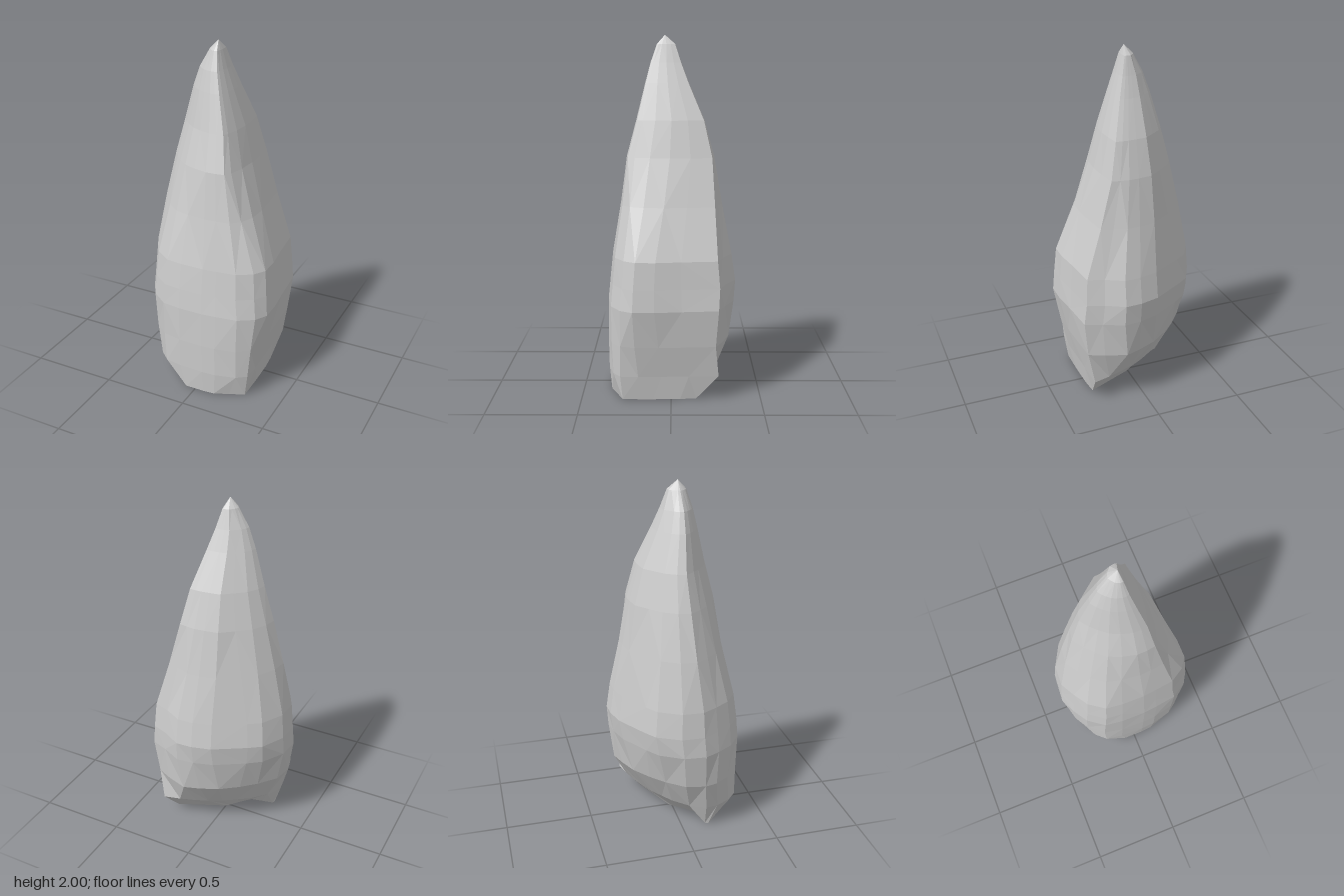
import * as THREE from 'three';

// Cross-sections (x, z), each running back -> left side -> front -> right side.
// Resting face
const FLOOR = [
  [-0.02, 0], [0, -0.02], [0.09, -0.06], [0.18, -0.1], [0.27, -0.14],
  [0.28, -0.05], [0.285, 0.1], [0.285, 0.2], [0.285, 0.27], [0.2, 0.305],
  [0.12, 0.34], [0.05, 0.345], [-0.06, 0.345], [-0.12, 0.285], [-0.19, 0.22],
  [-0.255, 0.16], [-0.25, 0.14], [-0.18, 0.125], [-0.115, 0.11], [-0.06, 0.05],
];
// Undercut foot, with a jutting back corner
const FOOT = [
  [-0.04, -0.14], [0.04, -0.18], [0.11, -0.21], [0.2, -0.24], [0.295, -0.265],
  [0.3, -0.1], [0.305, 0.05], [0.31, 0.18], [0.305, 0.28], [0.25, 0.32],
  [0.13, 0.35], [0.05, 0.355], [-0.09, 0.35], [-0.19, 0.335], [-0.25, 0.28],
  [-0.29, 0.2], [-0.3, 0.13], [-0.255, 0.04], [-0.175, -0.045], [-0.11, -0.09],
];
// Lower body
const LOWER = [
  [-0.07, -0.25], [0.03, -0.295], [0.12, -0.325], [0.24, -0.285], [0.325, -0.245],
  [0.335, -0.08], [0.342, 0.07], [0.345, 0.2], [0.32, 0.28], [0.25, 0.33],
  [0.13, 0.355], [0.05, 0.36], [-0.09, 0.357], [-0.2, 0.335], [-0.285, 0.26],
  [-0.335, 0.18], [-0.352, 0.11], [-0.33, 0], [-0.25, -0.1], [-0.17, -0.175],
];
// Widest part
const BELLY = [
  [-0.06, -0.325], [0.05, -0.355], [0.145, -0.36], [0.25, -0.3], [0.345, -0.265],
  [0.365, -0.05], [0.385, 0.1], [0.385, 0.215], [0.34, 0.28], [0.25, 0.335],
  [0.13, 0.35], [0.05, 0.36], [-0.09, 0.36], [-0.19, 0.35], [-0.285, 0.28],
  [-0.34, 0.19], [-0.385, 0.1], [-0.38, -0.03], [-0.31, -0.165], [-0.24, -0.215],
];
// Three-cornered upper part
const SHARD = [
  [-0.05, -0.19], [0.02, -0.2], [0.07, -0.205], [0.11, -0.205], [0.15, -0.2],
  [0.162, -0.1], [0.165, 0], [0.155, 0.1], [0.135, 0.18], [0.12, 0.213],
  [0.08, 0.22], [0.03, 0.22], [-0.04, 0.2], [-0.1, 0.172], [-0.15, 0.13],
  [-0.19, 0.09], [-0.23, 0.035], [-0.215, -0.02], [-0.175, -0.085], [-0.11, -0.14],
];
const SHAPES = [FOOT, LOWER, BELLY, SHARD];

// Each level: y, xMin, xMax, zMin, zMax, shape (0 foot, 1 lower, 2 belly, 3 shard)
const LEVELS = [
  [0.14, -0.3, 0.31, -0.263, 0.357, 0],
  [0.32, -0.355, 0.347, -0.325, 0.36, 1],
  [0.53, -0.386, 0.386, -0.35, 0.358, 1.75],
  [0.65, -0.381, 0.377, -0.358, 0.346, 2],
  [0.8, -0.37, 0.365, -0.336, 0.33, 2.05],
  [1.08, -0.32, 0.268, -0.282, 0.283, 2.45],
  [1.34, -0.262, 0.19, -0.238, 0.247, 2.85],
  [1.54, -0.208, 0.143, -0.183, 0.193, 3],
  [1.74, -0.148, 0.082, -0.097, 0.144, 3],
  [1.85, -0.107, 0.048, -0.055, 0.115, 3],
  [1.95, -0.05, 0.02, -0.022, 0.08, 3],
];

// Stretch a cross-section to the given extents
function fit(shape, x0, x1, z0, z1) {
  const xs = shape.map((p) => p[0]), zs = shape.map((p) => p[1]);
  const { mapLinear } = THREE.MathUtils;
  return shape.map(([x, z]) => [
    mapLinear(x, Math.min(...xs), Math.max(...xs), x0, x1),
    mapLinear(z, Math.min(...zs), Math.max(...zs), z0, z1),
  ]);
}

// Blend neighbouring shapes at one level
function section(kind, extents) {
  const shapes = SHAPES.map((s) => fit(s, 0, 1, 0, 1));
  const i = Math.min(Math.floor(kind), SHAPES.length - 2);
  const mixed = shapes[i].map((p, j) =>
    p.map((v, axis) => THREE.MathUtils.lerp(v, shapes[i + 1][j][axis], kind - i)));
  return fit(mixed, ...extents);
}

function rockGeometry() {
  const n = FLOOR.length;
  const points = FLOOR.map(([x, z]) => [x, 0, z]);
  for (const [y, x0, x1, z0, z1, kind] of LEVELS) {
    for (const [x, z] of section(kind, [x0, x1, z0, z1])) points.push([x, y, z]);
  }
  const tip = points.push([0, 2, 0.035]) - 1;
  const base = points.push([0.08, 0, 0.17]) - 1;

  const index = [];
  const top = LEVELS.length * n;
  for (let j = 0; j < n; j++) {
    const k = (j + 1) % n;
    index.push(base, j, k);
    // Alternating diagonals give the chipped diamond facets
    for (let i = 0; i < LEVELS.length; i++) {
      const a = i * n + j, b = i * n + k, c = a + n, d = b + n;
      if ((i + j) % 2) index.push(a, c, b, b, c, d);
      else index.push(a, c, d, a, d, b);
    }
    index.push(top + j, tip, top + k);
  }

  const indexed = new THREE.BufferGeometry();
  indexed.setAttribute('position', new THREE.Float32BufferAttribute(points.flat(), 3));
  indexed.setIndex(index);
  const geometry = indexed.toNonIndexed();
  geometry.computeVertexNormals();
  return geometry;
}

export function createModel() {
  const stone = new THREE.MeshStandardMaterial({ color: 0xcccccc });
  stone.name = 'grey stone';
  const rock = new THREE.Mesh(rockGeometry(), stone);
  rock.name = 'standing stone';
  const group = new THREE.Group();
  group.name = 'pointed rock';
  group.add(rock);
  return group;
}
